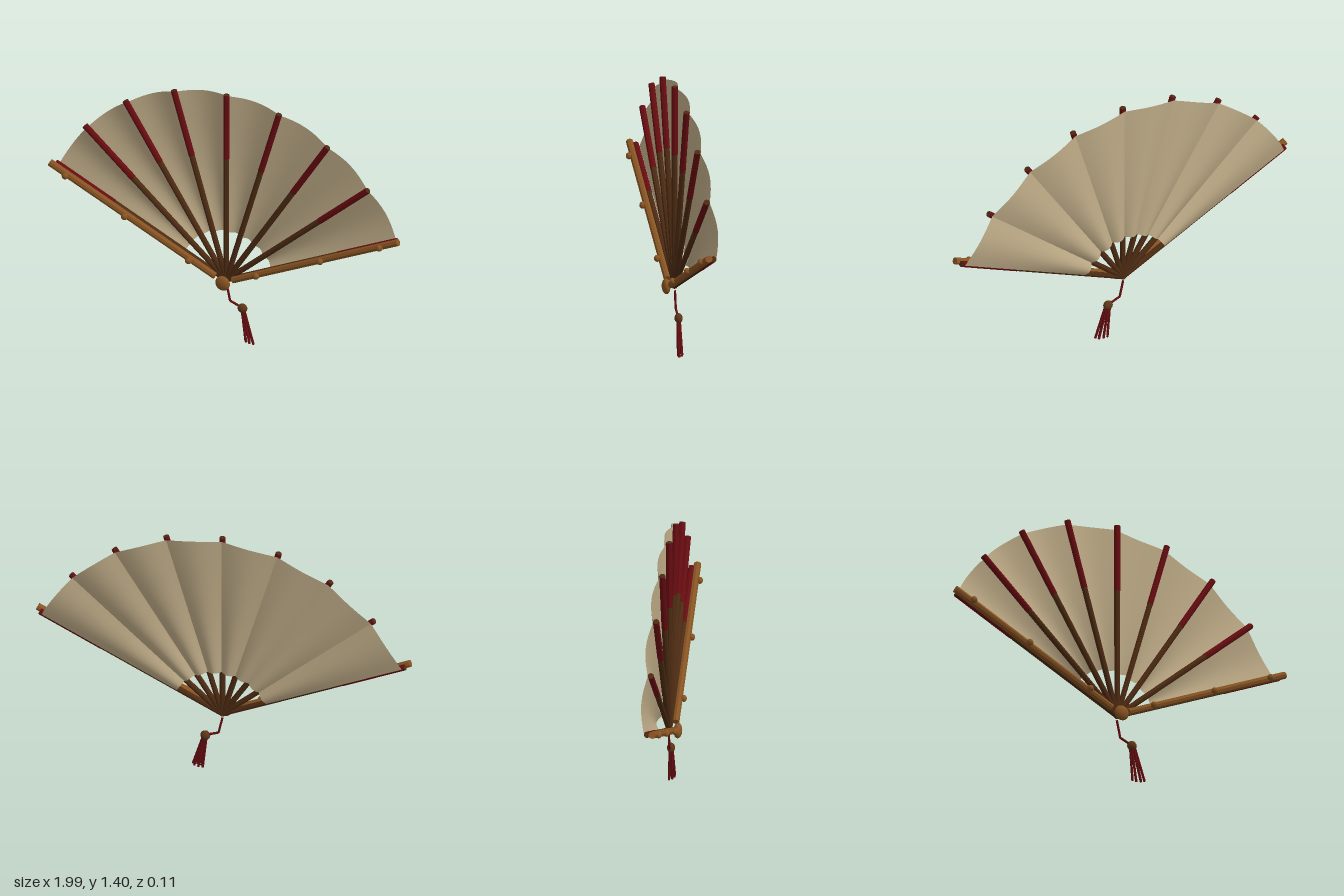
import * as THREE from 'three';

const PIVOT_Y = 0.335;
const SPREAD = THREE.MathUtils.degToRad(65);
const RIBS = 9;
const STEP = (2 * SPREAD) / (RIBS - 1);

const mat = (name, color, extra = {}) => {
  const m = new THREE.MeshStandardMaterial({ color, ...extra });
  m.name = name;
  return m;
};

export function createModel() {
  const paper = mat('paper', 0xbdaa86, { side: THREE.DoubleSide });
  const darkWood = mat('dark wood', 0x4c2a12, { flatShading: true });
  const guardWood = mat('guard wood', 0x875322, { flatShading: true });
  const knobWood = mat('knob wood', 0x875322);
  knobWood.color = guardWood.color;
  const beadWood = mat('bead wood', 0x5e3618);
  const red = mat('dark red', 0x660c10, { flatShading: true });

  const model = new THREE.Group();
  model.name = 'foldingFan';
  const add = (parent, name, geometry, material, x = 0, y = 0, z = 0) => {
    const mesh = new THREE.Mesh(geometry, material);
    mesh.name = name;
    mesh.position.set(x, y, z);
    parent.add(mesh);
    return mesh;
  };

  // group turned about the pivot, its y axis running out along a stick
  const arm = (name, angle) => {
    const g = new THREE.Group();
    g.name = name;
    g.position.y = PIVOT_Y;
    g.rotation.z = -angle;
    model.add(g);
    return g;
  };
  // round stick from radius a to radius b of the fan
  const stick = (a, b, rBottom, rTop, sides = 8) =>
    new THREE.CylinderGeometry(rTop, rBottom, b - a, sides).translate(0, (a + b) / 2, 0);

  // ribs with a red sleeve on the outer part
  for (let i = 0; i < RIBS; i++) {
    const g = arm('rib', -SPREAD + i * STEP);
    add(g, 'ribStick', stick(-0.008, 1.066, 0.0145, 0.0155), darkWood, 0, 0, -0.013);
    add(g, 'ribSleeve', stick(0.7, 1.064, 0.0165, 0.0165), red, 0, 0, -0.013);
  }

  // pleated leaf: one panel between each pair of ribs, bulging to the back
  const R0 = 0.262, R1 = 1.05;
  for (let i = 0; i < RIBS - 1; i++) {
    const geo = new THREE.PlaneGeometry(1, 1, 8, 4);
    const p = geo.attributes.position;
    for (let k = 0; k < p.count; k++) {
      const u = p.getX(k) + 0.5;
      const r = R0 + (R1 - R0) * (p.getY(k) + 0.5);
      const a = -SPREAD + (i + u) * STEP;
      p.setXYZ(k, r * Math.sin(a), PIVOT_Y + r * Math.cos(a), -0.03 - 0.023 * Math.sin(Math.PI * u));
    }
    geo.computeVertexNormals();
    add(model, 'leafPanel', geo, paper);
  }

  // outer guards with three small knobs each
  for (const side of [-1, 1]) {
    const g = arm(side > 0 ? 'leftGuard' : 'rightGuard', side * SPREAD);
    add(g, 'guardStick', stick(0.055, 1.087, 0.018, 0.019), guardWood, 0, 0, 0.015);
    for (const r of [0.21, 0.61, 0.98]) {
      const knob = add(g, 'guardKnob', new THREE.SphereGeometry(0.018, 12, 8), knobWood, 0, r, 0.038);
      knob.scale.z = 0.9;
    }
  }

  // flattened pivot button
  const button = add(model, 'pivotButton', new THREE.SphereGeometry(0.04, 20, 14), knobWood, 0, PIVOT_Y, 0.031);
  button.scale.z = 0.55;

  // cord, bead and tassel strands
  const Z = -0.015;
  const tassel = new THREE.Group();
  tassel.name = 'tassel';
  model.add(tassel);
  const rod = (name, a, b, r0, r1) => {
    const dir = b.clone().sub(a);
    const mesh = add(tassel, name, new THREE.CylinderGeometry(r1, r0, dir.length(), 6), red);
    mesh.position.copy(a).addScaledVector(dir, 0.5);
    mesh.quaternion.setFromUnitVectors(new THREE.Vector3(0, 1, 0), dir.normalize());
  };
  const cord = [[0, 0.31], [0.02, 0.218], [0.09, 0.192]].map(([x, y]) => new THREE.Vector3(x, y, Z));
  rod('cord', cord[0], cord[1], 0.006, 0.006);
  rod('cord', cord[1], cord[2], 0.006, 0.006);
  const bead = add(tassel, 'tasselBead', new THREE.SphereGeometry(0.026, 14, 10), beadWood, 0.09, 0.19, Z);
  bead.scale.z = 0.8;
  for (let i = 0; i < 6; i++) {
    const dz = (i % 2 ? 1 : -1) * (i % 3 === 1 ? 0.004 : 0.012);
    rod('tasselStrand',
      new THREE.Vector3(0.083 + i * 0.004, 0.18, Z + dz * 0.5),
      new THREE.Vector3(0.101 + i * 0.0115, 0.002, Z + dz), 0.0065, 0.0065);
  }

  return model;
}
